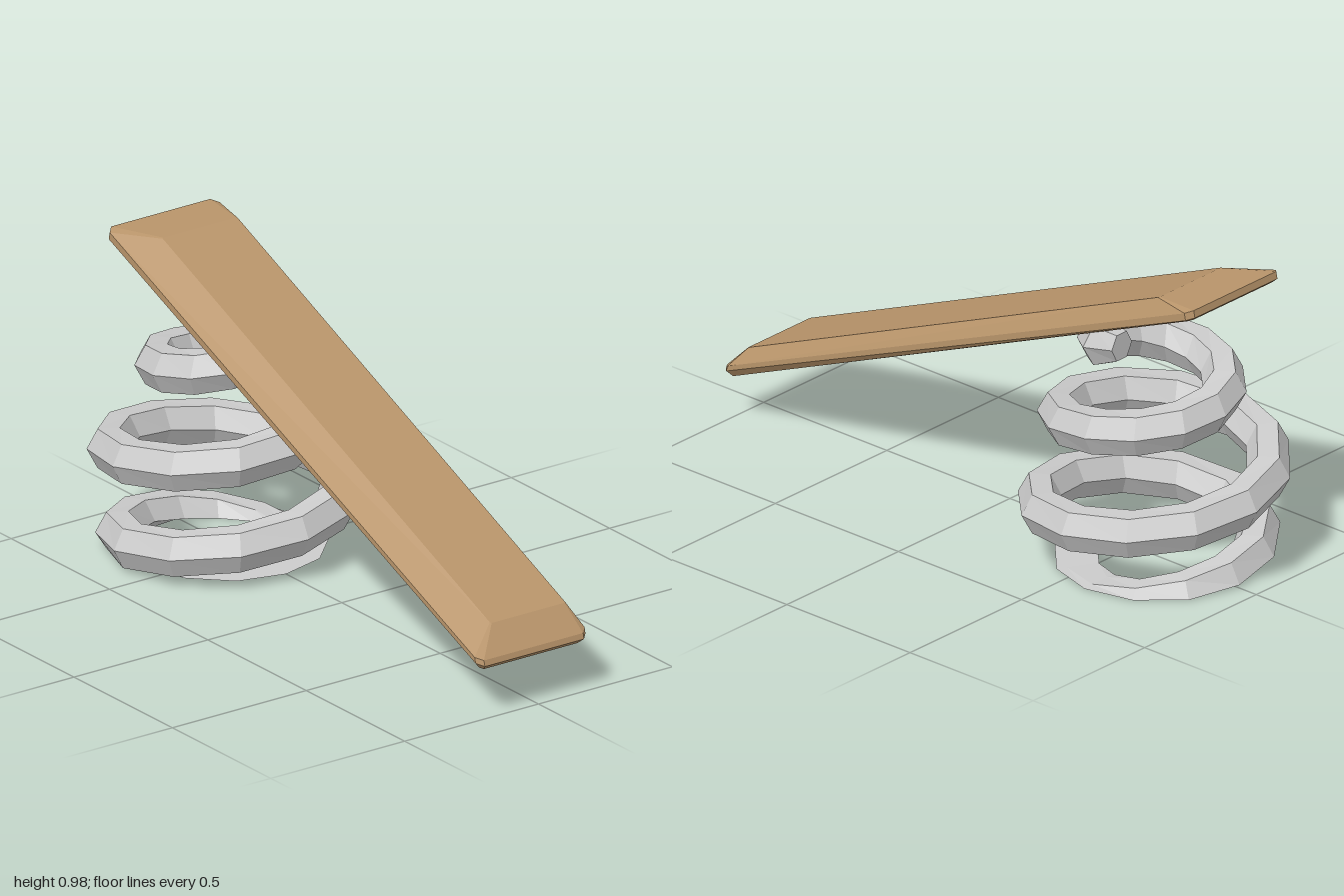
import * as THREE from 'three';

// Skin a stack of equal-length loops (anticlockwise seen from the last loop) and cap both ends.
function loft(loops) {
  const n = loops[0].length, last = loops.length - 1, index = [];
  for (let k = 0; k < last; k++) {
    for (let j = 0; j < n; j++) {
      const a = k * n + j, b = k * n + (j + 1) % n;
      index.push(a, b, b + n, a, b + n, a + n);
    }
  }
  for (let j = 1; j < n - 1; j++) {
    index.push(0, j + 1, j);
    index.push(last * n, last * n + j, last * n + j + 1);
  }
  const geometry = new THREE.BufferGeometry();
  geometry.setAttribute('position', new THREE.Float32BufferAttribute(loops.flat(2), 3));
  geometry.setIndex(index);
  const flat = geometry.toNonIndexed();
  flat.computeVertexNormals();
  return flat;
}

// Sloping rectangle with clipped corners.
function plankLoop(x0, x1, zFront, zBack, yFront, yBack, c) {
  const y = z => yFront + (yBack - yFront) * (zFront - z) / (zFront - zBack);
  return [
    [x1 - c, zFront], [x1, zFront - c], [x1, zBack + c], [x1 - c, zBack],
    [x0 + c, zBack], [x0, zBack + c], [x0, zFront - c], [x0 + c, zFront],
  ].map(([x, z]) => [x, y(z), z]);
}

// Six-sided wire wound upwards; everything below the ground is pressed flat.
function springLoops() {
  // Height and coil radius at every quarter turn, starting at the right-hand -x side.
  const quarters = [
    [-0.12, 0.24], [-0.09, 0.24], [-0.06, 0.25], [0.01, 0.275],
    [0.075, 0.35], [0.15, 0.355], [0.215, 0.355], [0.275, 0.345],
    [0.35, 0.355], [0.42, 0.32], [0.5, 0.25], [0.555, 0.22],
    [0.61, 0.205], [0.68, 0.185], [0.75, 0.15],
  ];
  const path = new THREE.CatmullRomCurve3(quarters.map(([y, r], i) => new THREE.Vector3(i, y, r)));
  const steps = (quarters.length - 1) * 3, loops = [];
  for (let i = 0; i <= steps; i++) {
    const p = path.getPoint(i / steps);
    const turn = (p.x - 1) * Math.PI / 2;
    const wire = i === steps ? 0.045 : 0.067;
    const loop = [];
    for (let j = 0; j < 6; j++) {
      const a = -j * Math.PI / 3;
      const r = p.z + wire * Math.cos(a);
      loop.push([r * Math.sin(turn), Math.max(0, p.y + wire * 1.1 * Math.sin(a)), -0.59 + r * Math.cos(turn)]);
    }
    loops.push(loop);
  }
  return loops;
}

export function createModel() {
  const group = new THREE.Group();
  const wood = new THREE.MeshStandardMaterial({ color: 0xb8946a, flatShading: true });
  const metal = new THREE.MeshStandardMaterial({ color: 0xcccccc, flatShading: true });

  // Tilted board: inset underside, thin rim, bevelled top
  const plank = new THREE.Mesh(loft([
    plankLoop(-0.20, 0.17, 0.98, -0.89, 0.153, 0.938, 0.01),
    plankLoop(-0.22, 0.19, 1.0, -0.905, 0.17, 0.952, 0.02),
    plankLoop(-0.22, 0.19, 0.995, -0.9, 0.188, 0.975, 0.02),
    plankLoop(-0.12, 0.16, 0.92, -0.75, 0.265, 0.968, 0.004),
  ]), wood);
  plank.name = 'plank';
  group.add(plank);

  // Tapering coil under the raised end
  const spring = new THREE.Mesh(loft(springLoops()), metal);
  spring.name = 'spring';
  group.add(spring);

  return group;
}
